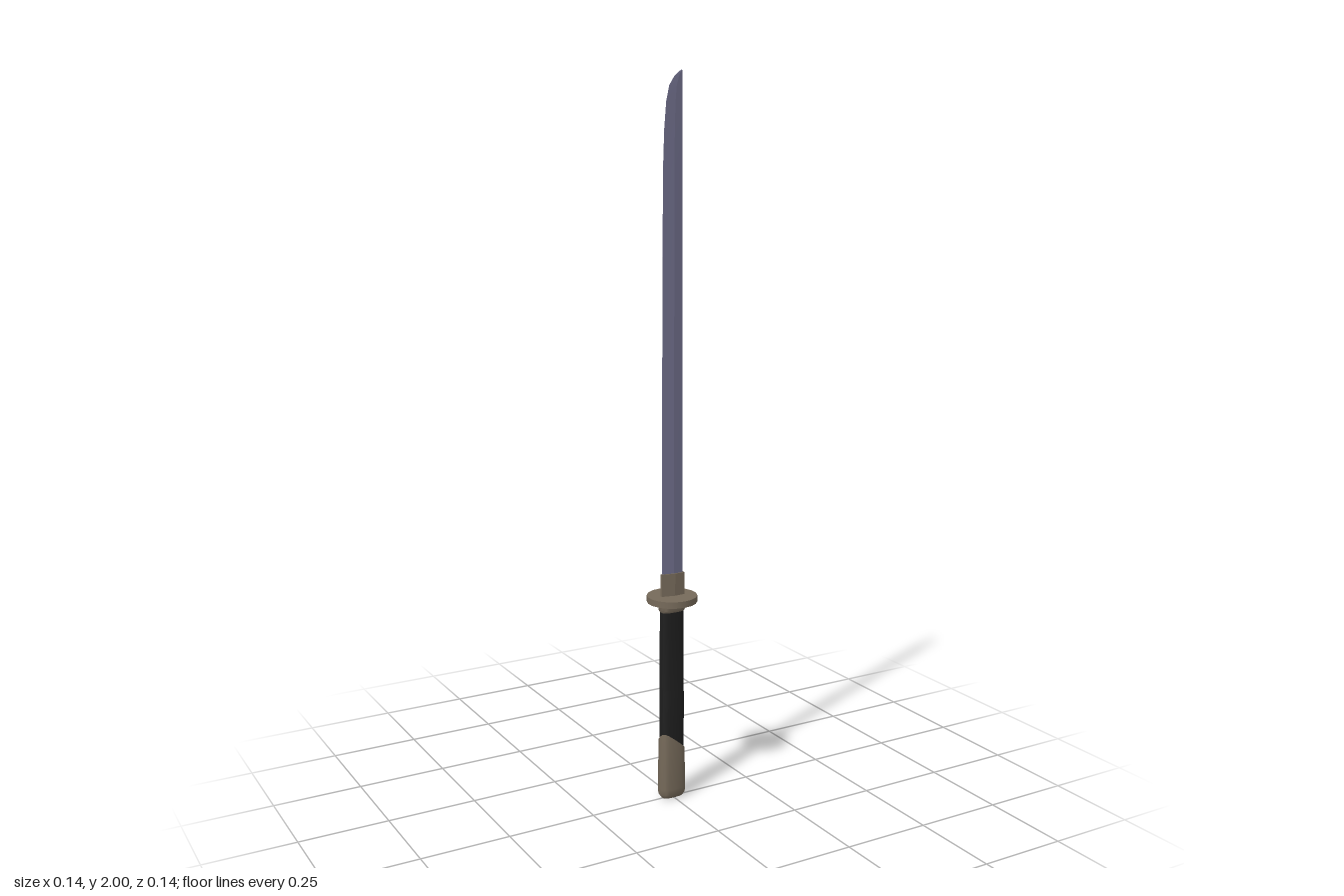
import * as THREE from 'three';
import { toCreasedNormals } from 'three/addons/utils/BufferGeometryUtils.js';

// Skin a list of rings (each an array of [x, y, z], turning from +x to +z), capped at both ends
function loft(rings) {
  const n = rings[0].length;
  const pos = rings.flat(2);
  const index = [];
  for (let i = 0; i < rings.length - 1; i++) {
    for (let j = 0; j < n; j++) {
      const a = i * n + j, b = i * n + (j + 1) % n;
      index.push(a, a + n, b, b, a + n, b + n);
    }
  }
  [rings[0], rings[rings.length - 1]].forEach((ring, end) => {
    const c = pos.length / 3, base = end ? (rings.length - 1) * n : 0;
    for (let k = 0; k < 3; k++) pos.push(ring.reduce((s, p) => s + p[k], 0) / n);
    for (let j = 0; j < n; j++) {
      const a = base + j, b = base + (j + 1) % n;
      if (end) index.push(c, b, a); else index.push(c, a, b);
    }
  });
  const geo = new THREE.BufferGeometry();
  geo.setAttribute('position', new THREE.Float32BufferAttribute(pos, 3));
  geo.setIndex(index);
  return geo;
}

// Rounded oblong ring; tilt(x, z) offsets the height around the ring
function oval(y, x0, x1, hz, tilt = () => 0, sides = 16) {
  const soft = (v) => Math.sign(v) * Math.pow(Math.abs(v), 0.7);
  return Array.from({ length: sides }, (_, j) => {
    const t = (j / sides) * Math.PI * 2;
    const x = (x0 + x1) / 2 + soft(Math.cos(t)) * (x1 - x0) / 2;
    const z = soft(Math.sin(t)) * hz;
    return [x, y + tilt(x, z), z];
  });
}

// Blade ring: sharp edge at -x, ridge on each face, narrow flat spine at +x
function bladeRing(y, edge, hz, spine = 0.03) {
  const ridge = edge + (spine - edge) * 0.55;
  return [[spine, y, -hz * 0.7], [spine, y, hz * 0.7], [ridge, y, hz],
    [edge, y, 0.0004], [edge, y, -0.0004], [ridge, y, -hz]];
}

export function createModel() {
  const steel = new THREE.MeshStandardMaterial({ name: 'blueGreySteel', color: 0x6d6c88 });
  const bronze = new THREE.MeshStandardMaterial({ name: 'dullBronze', color: 0x766a5a });
  const black = new THREE.MeshStandardMaterial({ name: 'blackWrap', color: 0x1e1e1e });

  const group = new THREE.Group();
  group.name = 'sword';
  const add = (name, geometry, material, crease = 0.6) => {
    const mesh = new THREE.Mesh(toCreasedNormals(geometry, crease), material);
    mesh.name = name;
    group.add(mesh);
    return mesh;
  };

  // Single-edged blade with a curved tip: [height, edge x, half thickness]
  const profile = [[0.6, -0.031, 0.0075], [1.2, -0.03, 0.0065], [1.74, -0.027, 0.005],
    [1.85, -0.023, 0.004], [1.92, -0.017, 0.003], [1.96, -0.008, 0.0025],
    [1.983, 0.007, 0.002], [1.995, 0.02, 0.0015], [2, 0.029, 0.001]];
  add('blade', loft(profile.map(([y, edge, hz]) => bladeRing(y, edge, hz))), steel, 0.1);

  // Wedge-shaped collar around the foot of the blade
  add('bladeCollar', loft([0.585, 0.658].map((y) => [
    [0.034, y, -0.009], [0.034, y, 0.009], [0.004, y, 0.011],
    [-0.034, y, 0.003], [-0.034, y, -0.003], [0.004, y, -0.011]])), bronze, 0.1);

  // Round hand guard
  const guard = add('guard', new THREE.CylinderGeometry(0.07, 0.07, 0.018, 18), bronze);
  guard.position.y = 0.586;

  // Collar below the guard
  add('gripCollar', loft([oval(0.55, -0.036, 0.035, 0.02), oval(0.556, -0.039, 0.037, 0.023),
    oval(0.58, -0.039, 0.037, 0.023)]), bronze);

  // Wrapped grip, thinner towards the guard
  add('grip', loft([oval(0.1, -0.037, 0.034, 0.0215), oval(0.31, -0.037, 0.034, 0.0205),
    oval(0.33, -0.037, 0.034, 0.018), oval(0.52, -0.036, 0.034, 0.0165),
    oval(0.555, -0.036, 0.034, 0.0165)]), black);

  // End cap with rounded foot and slanted upper rim
  const slant = (x, z) => -x * (0.6 + 10 * z) + z * 0.5;
  add('pommel', loft([oval(0, -0.025, 0.022, 0.012), oval(0.003, -0.034, 0.031, 0.018),
    oval(0.012, -0.04, 0.037, 0.023), oval(0.03, -0.041, 0.038, 0.0245),
    oval(0.163, -0.039, 0.036, 0.0235, slant),
    oval(0.165, -0.036, 0.033, 0.0205, slant)]), bronze);

  return group;
}
